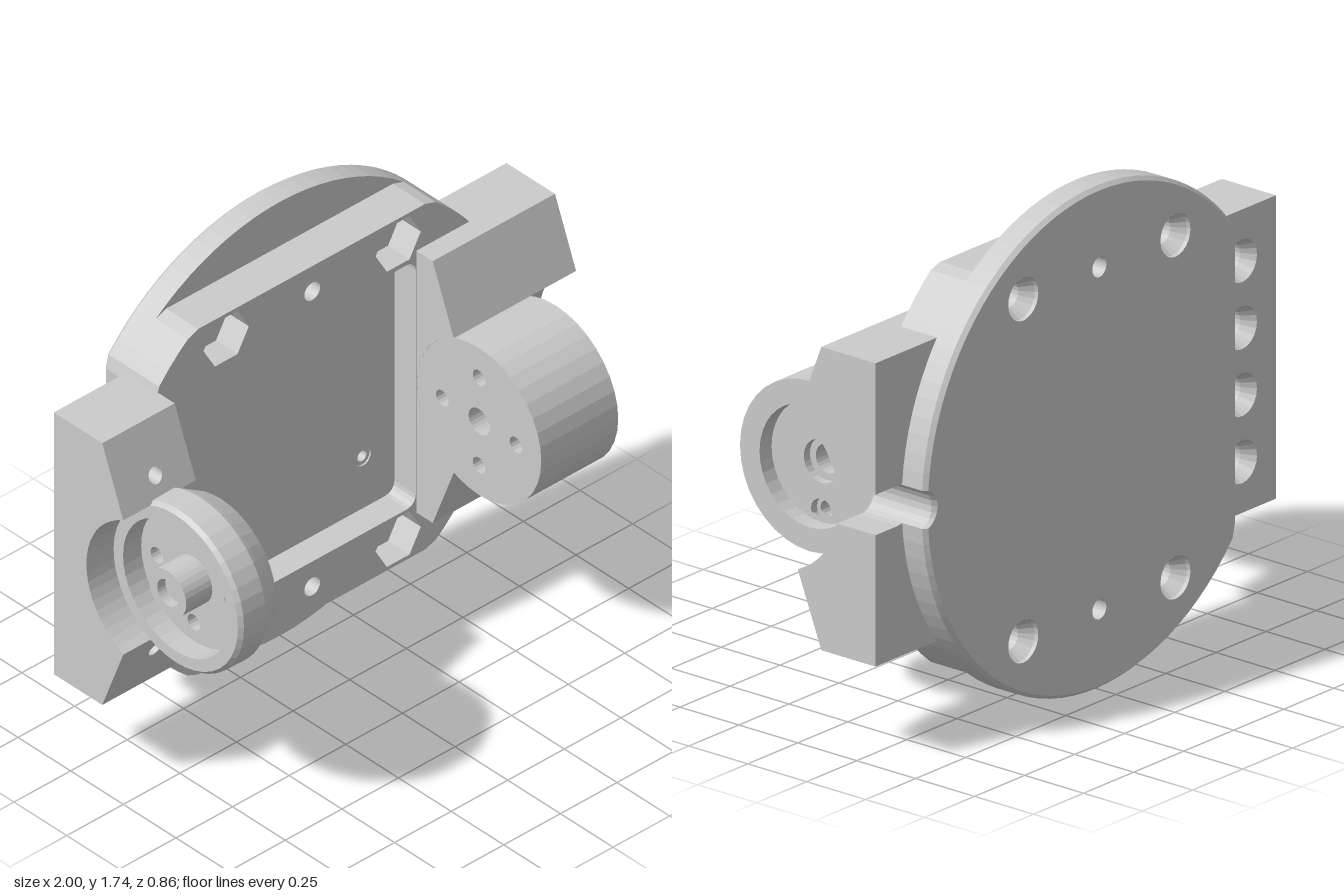
import * as THREE from 'three';

const CY = 0.872, R = 0.87;          // disc centre height and radius
const AXIS = 0.12, BORE = 0.295;     // pivot axis depth and saddle radius
const BACK = -0.43, SEAT = -0.33, FRONT = -0.178, FLOOR = -0.28;
const mat = new THREE.MeshStandardMaterial({ color: 0xcccccc, flatShading: true, side: THREE.DoubleSide });

const V = (x, y) => new THREE.Vector2(x, y);
const poly = (pts) => new THREE.Shape(pts.map(([x, y]) => V(x, y)));
const rect = (x0, y0, x1, y1) => poly([[x0, y0], [x1, y0], [x1, y1], [x0, y1]]);

function ring(x, y, r, n = 24) {
  const pts = [];
  for (let i = 0; i < n; i++) {
    const a = (i / n) * Math.PI * 2;
    pts.push([x + r * Math.cos(a), y + r * Math.sin(a)]);
  }
  return poly(pts);
}

function roundRect(x0, y0, x1, y1, r) {
  const pts = [];
  [[x1 - r, y1 - r], [x0 + r, y1 - r], [x0 + r, y0 + r], [x1 - r, y0 + r]].forEach(([cx, cy], k) => {
    for (let i = 0; i <= 4; i++) {
      const a = (k + i / 4) * Math.PI / 2;
      pts.push([cx + r * Math.cos(a), cy + r * Math.sin(a)]);
    }
  });
  return poly(pts);
}

// Extrude a shape with holes along z
function slabZ(shape, holes, z0, z1) {
  shape.holes.push(...holes);
  return new THREE.ExtrudeGeometry(shape, { depth: z1 - z0, bevelEnabled: false, curveSegments: 8 }).translate(0, 0, z0);
}

// Extrude a profile of [z, y] points along x
function slabX(pts, x0, x1, holes = []) {
  const shape = poly(pts.map(([z, y]) => [-z, y]));
  return slabZ(shape, holes, x0, x1).rotateY(Math.PI / 2);
}

const lathe = (pts, n = 40) => new THREE.LatheGeometry(pts.map(([r, h]) => V(r, h)), n);
const latheX = (pts, n) => lathe(pts, n).rotateZ(-Math.PI / 2).translate(0, CY, AXIS);
const latheZ = (pts, x, y) => lathe(pts, 20).rotateX(Math.PI / 2).translate(x, y, 0);

// Disc outline: flat on the left, cable slot on the right, limited to a height band
function discOutline(half) {
  const pts = [], a0 = 0.0757, n = 90;
  for (let i = 0; i <= n; i++) {
    const a = a0 + (i / n) * (Math.PI * 2 - 2 * a0);
    const y = THREE.MathUtils.clamp(R * Math.sin(a), -half, half);
    pts.push([Math.max(-0.69, R * Math.cos(a)), CY + y]);
  }
  for (let i = 1; i < 8; i++) {
    const a = THREE.MathUtils.degToRad(250 - i * 17.5);
    pts.push([0.89 + 0.07 * Math.cos(a), CY + 0.07 * Math.sin(a)]);
  }
  return poly(pts);
}

// Saddle arc as [z, y] points between two heights measured from the axis
function saddle(y0, y1, n = 14) {
  const a0 = Math.asin(y0 / BORE), a1 = Math.asin(y1 / BORE), pts = [];
  for (let i = 0; i <= n; i++) {
    const a = a0 + (i / n) * (a1 - a0);
    pts.push([AXIS - BORE * Math.cos(a), CY + BORE * Math.sin(a)]);
  }
  return pts;
}

export function createModel() {
  const model = new THREE.Group();
  const add = (name, ...geos) => {
    const g = new THREE.Group();
    g.name = name;
    geos.forEach((geo) => {
      const m = new THREE.Mesh(geo, mat);
      m.name = name;
      g.add(m);
    });
    model.add(g);
  };

  const bolts = [], pins = [];
  for (const s of [-1, 1]) {
    pins.push([0, CY + s * 0.592]);
    for (const x of [-0.38, 0.38]) bolts.push([x, CY + s * 0.592]);
  }
  const pinHoles = () => pins.map(([x, y]) => ring(x, y, 0.035));
  const boltHoles = (r, n) => bolts.map(([x, y]) => ring(x, y, r, n));

  // Back disc with chamfered rear edge
  const rim = slabZ(discOutline(R), [...boltHoles(0.075), ...pinHoles()], BACK, BACK + 0.015);
  const p = rim.attributes.position;
  for (let i = 0; i < p.count; i++) {
    if (p.getZ(i) > BACK + 0.005) continue;
    const x = p.getX(i), y = p.getY(i) - CY;
    if (Math.hypot(x, y) > 0.8) p.setXY(i, x * 0.985, CY + y * 0.985);
    if (x < -0.68) p.setX(i, -0.677);
  }
  add('backDisc', rim, slabZ(discOutline(R), [...boltHoles(0.075), ...pinHoles()], BACK + 0.015, SEAT));
  add('discCountersinks', ...bolts.map(([x, y]) =>
    latheZ([[0.075, BACK], [0.075, BACK + 0.015], [0.045, -0.37], [0.045, SEAT]], x, y)));

  // Mounting plate: pocket floor, then raised layer with pocket and nut recesses
  const screws = [];
  for (const x of [-0.57, 0.32]) for (const y of [0.585, 1.315]) screws.push([x, y]);
  add('plateFloor', slabZ(discOutline(0.693),
    [...boltHoles(0.045), ...pinHoles(), ...screws.map(([x, y]) => ring(x, y, 0.034))], SEAT, FLOOR));
  add('plateFrame', slabZ(discOutline(0.693),
    [...boltHoles(0.1, 6), ...pinHoles(), roundRect(-0.68, 0.38, 0.458, 1.36, 0.04)], FLOOR, FRONT));
  add('pocketInserts', ...screws.map(([x, y]) =>
    latheZ([[0.034, SEAT], [0.034, FLOOR - 0.006], [0.02, FLOOR - 0.006], [0.02, SEAT]], x, y)));

  // Right arm block: full saddle inside, split by the cable slot outside
  const tip = Math.sqrt(BORE ** 2 - AXIS ** 2), h = 0.525, slot = 0.07;
  add('rightBlock',
    slabX([[SEAT, CY + h], [SEAT, CY - h], [-0.1, CY - h], ...saddle(-tip, tip, 20), [-0.1, CY + h]], 0.46, 0.8),
    ...[-1, 1].map((s) => slabX(
      [[SEAT, CY + s * slot], [SEAT, CY + s * h], [-0.1, CY + s * h], ...saddle(s * tip, s * slot)], 0.8, 1)));
  const web = [[0.8, CY - slot]];
  for (let i = 0; i <= 10; i++) {
    const a = -Math.PI / 2 - (i / 10) * Math.PI;
    web.push([0.89 + slot * Math.cos(a), CY + slot * Math.sin(a)]);
  }
  web.push([0.8, CY + slot]);
  add('cableSlotEnd', slabZ(poly(web), [], SEAT, -0.172));

  // Left arm block: drilled base, two sloped shoulders and the saddle
  const drill = [-1.5, -0.5, 0.5, 1.5].map((k) => [-0.83, CY + k * 0.232]);
  const drills = (r) => drill.map(([x, y]) => ring(x, y, r, 20));
  const shoulder = (s) => {
    const ya = CY + s * tip, yb = CY + s * h;
    const g = slabZ(rect(-1, Math.min(ya, yb), -0.68, Math.max(ya, yb)), [ring(-0.83, CY + s * 0.348, 0.028, 20)], FRONT, 0);
    const q = g.attributes.position;
    for (let i = 0; i < q.count; i++) {
      if (q.getZ(i) > -0.01) q.setZ(i, -0.1 * (Math.abs(q.getY(i) - CY) - tip) / (h - tip));
    }
    g.computeVertexNormals();
    return g;
  };
  add('leftBlock',
    slabZ(rect(-1, CY - h, -0.68, CY + h), drills(0.075), SEAT, -0.24),
    slabZ(rect(-1, CY - h, -0.68, CY + h), drills(0.028), -0.24, FRONT),
    shoulder(1), shoulder(-1),
    slabX([[FRONT, CY + tip], [FRONT, CY - tip], ...saddle(-tip, tip, 20)], -1, -0.68));
  add('leftCountersinks', ...drill.map(([x, y]) =>
    latheZ([[0.075, SEAT], [0.05, -0.28], [0.05, -0.24], [0.028, -0.24]], x, y)));

  // Pivot plates with four holes around the axis
  const around = (r) => [0, 1, 2, 3].map((k) =>
    ring(-AXIS + 0.175 * Math.cos(k * Math.PI / 2), CY + 0.175 * Math.sin(k * Math.PI / 2), r, 16));
  const plate = (r, x0, x1, hole, centre) => slabZ(ring(-AXIS, CY, r, 40),
    [...around(hole), ...(centre ? [ring(-AXIS, CY, centre)] : [])], x0, x1).rotateY(Math.PI / 2);

  // Right pivot drum
  add('rightDrum',
    latheX([[0.212, 0.46], [BORE, 0.46], [BORE, 0.8], [0.212, 0.8], [0.212, 0.46]], 36),
    plate(0.213, 0.46, 0.71, 0.03, 0.05),
    plate(0.213, 0.71, 0.74, 0.045, 0.075));

  // Left pivot wheel, dished on both faces, with a hub
  add('leftWheel',
    latheX([[0.25, -0.8], [0.25, -0.88], [0.295, -0.88], [0.308, -0.865], [0.31, -0.77],
      [0.3, -0.75], [0.26, -0.68], [0.212, -0.68], [0.212, -0.74], [0.25, -0.8]], 40),
    plate(0.25, -0.8, -0.74, 0.03, 0));
  add('leftHub', latheX([[0, -0.88], [0.05, -0.88], [0.05, -0.915], [0.0875, -0.915], [0.0875, -0.8]], 28));

  return model;
}
